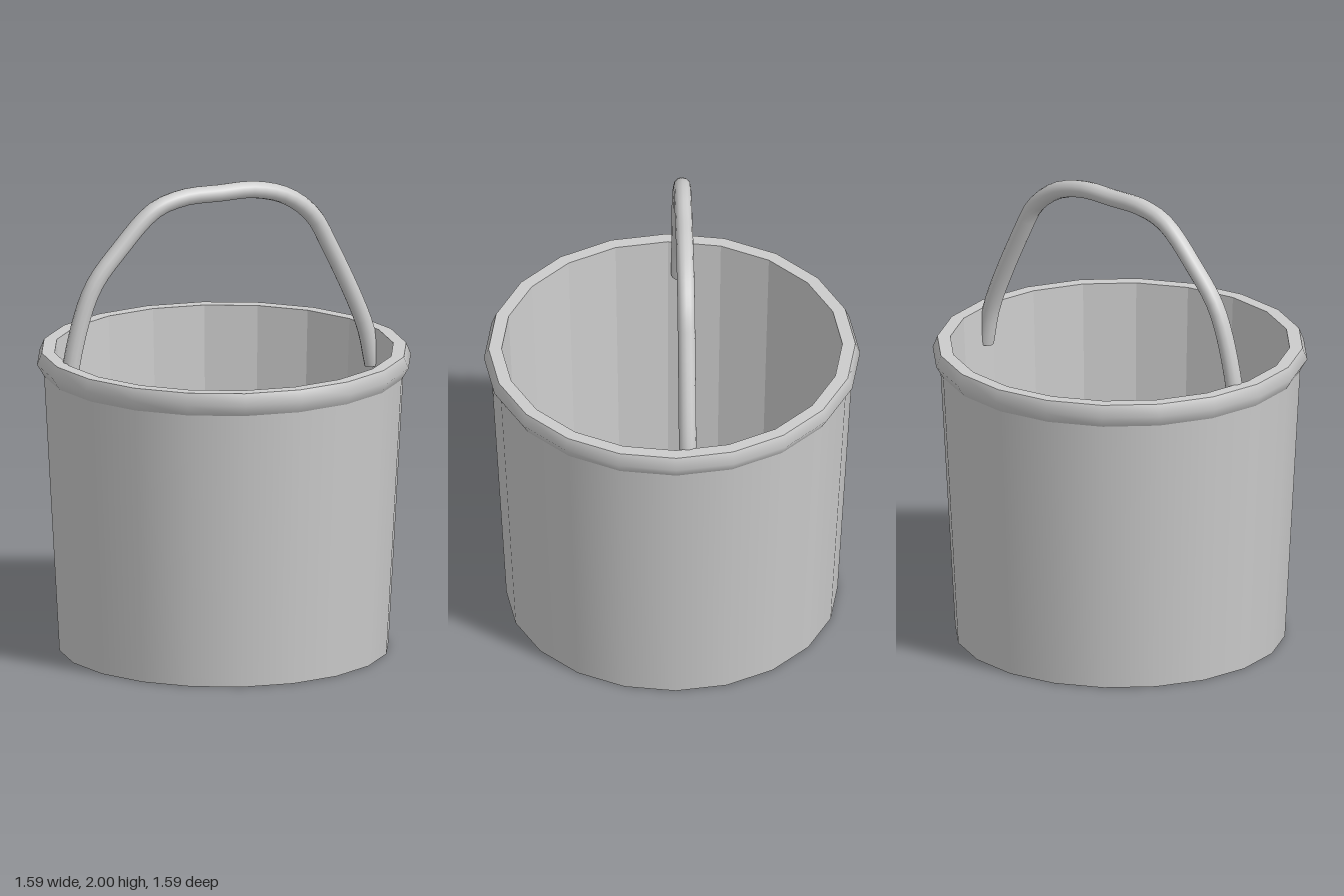
import * as THREE from 'three';

const SIDES = 20;
const smooth = new THREE.MeshStandardMaterial({ color: 0xcccccc });
const faceted = new THREE.MeshStandardMaterial({ color: 0xcccccc, flatShading: true });

// Surface of revolution from [radius, height] pairs
function lathe(name, profile, material) {
  const points = profile.map(([r, y]) => new THREE.Vector2(r, y));
  const mesh = new THREE.Mesh(new THREE.LatheGeometry(points, SIDES), material);
  mesh.name = name;
  return mesh;
}

// Bent round bar with closed ends
function createHandle() {
  const handle = new THREE.Group();
  handle.name = 'handle';
  const radius = 0.037;
  const curve = new THREE.CatmullRomCurve3([
    [-0.7, 1.14], [-0.68, 1.32], [-0.59, 1.605], [-0.463, 1.765], [-0.3, 1.92],
    [-0.165, 1.961], [0, 1.963], [0.165, 1.961], [0.315, 1.917], [0.432, 1.825],
    [0.507, 1.693], [0.675, 1.32], [0.715, 1.14],
  ].map(([x, y]) => new THREE.Vector3(x, y, -0.05)));

  const bar = new THREE.Mesh(new THREE.TubeGeometry(curve, 48, radius, 12), smooth);
  bar.name = 'handleBar';
  handle.add(bar);

  for (const t of [0, 1]) {
    const cap = new THREE.Mesh(new THREE.CircleGeometry(radius, 12), smooth);
    const outward = curve.getTangentAt(t).multiplyScalar(t ? 1 : -1);
    cap.quaternion.setFromUnitVectors(new THREE.Vector3(0, 0, 1), outward);
    cap.position.copy(curve.getPointAt(t));
    cap.name = 'handleEnd';
    handle.add(cap);
  }
  return handle;
}

export function createModel() {
  const bucket = new THREE.Group();
  bucket.name = 'bucket';
  bucket.add(
    // Outer shell
    lathe('base', [[0, 0], [0.7, 0]], faceted),
    lathe('outerWall', [[0.7, 0], [0.765, 1.2]], smooth),
    // Flared rim with a flat top
    lathe('rim', [[0.765, 1.2], [0.795, 1.25], [0.775, 1.3]], smooth),
    lathe('rimTop', [[0.775, 1.3], [0.72, 1.3]], faceted),
    // Faceted interior
    lathe('innerWall', [[0.72, 1.3], [0.665, 0.04]], faceted),
    lathe('floor', [[0.665, 0.04], [0, 0.04]], faceted),
    createHandle(),
  );
  return bucket;
}
